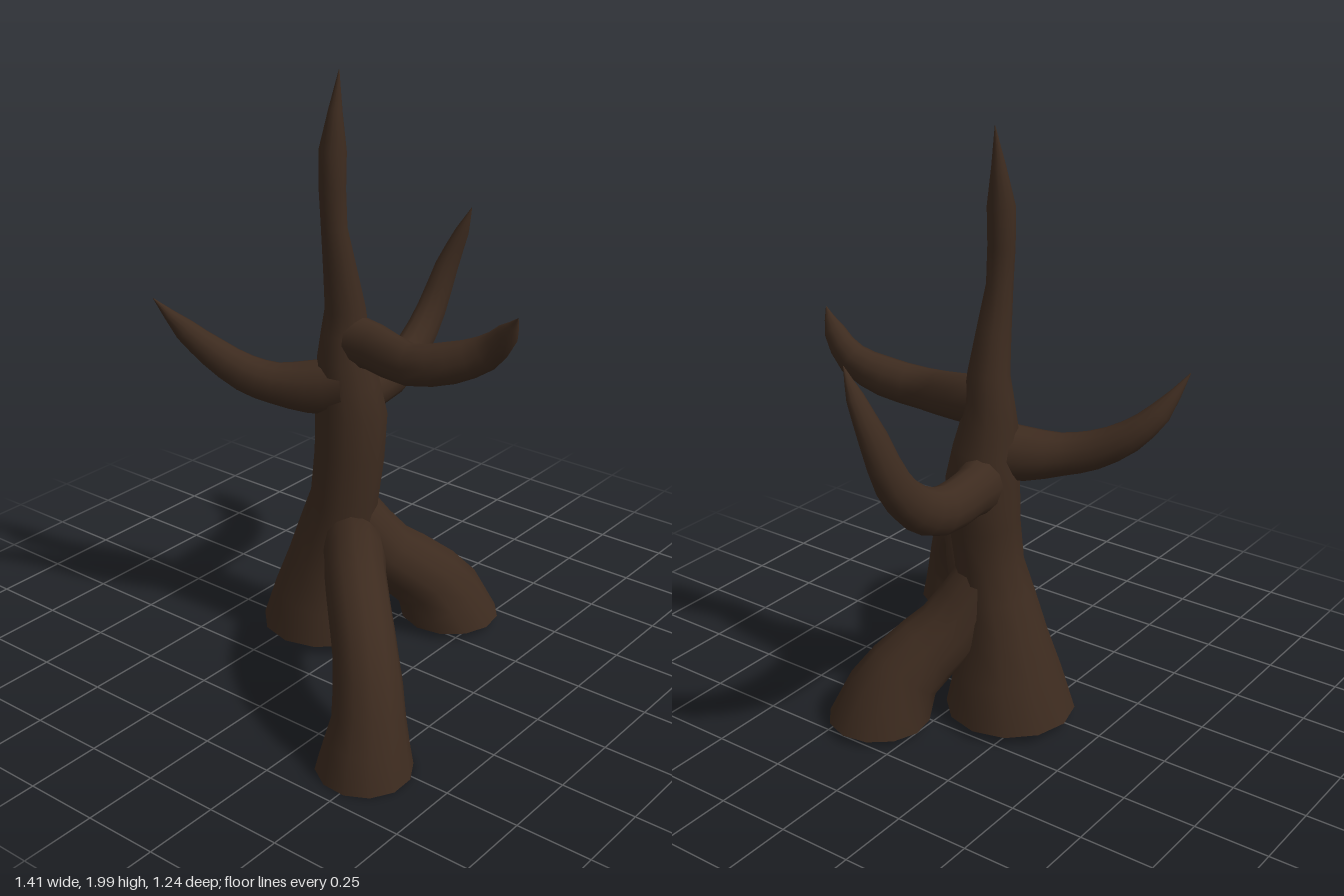
import * as THREE from 'three';

const SIDES = 12, STEPS = 2; // facets around a limb, rings per path section

// Sweeps an oval along a path. Each point is [x, y, z, radius];
// tall scales the section upright, and grounded gives a level, open foot.
function limb(points, { tall = 1, grounded = false } = {}) {
  const path = points.map(p => new THREE.Vector3(p[0], p[1], p[2]));
  const curve = new THREE.CatmullRomCurve3(path);
  const sections = points.length - 1, rings = sections * STEPS;
  const span = path[sections].clone().sub(path[0]);
  const acrossBase = Math.hypot(span.x, span.z) < 0.2
    ? new THREE.Vector3(1, 0, 0)
    : new THREE.Vector3(span.z, 0, -span.x).normalize();
  const pos = [], index = [];
  for (let i = 0; i <= rings; i++) {
    const u = i / rings, s = Math.min(Math.floor(i / STEPS), sections - 1);
    const r = THREE.MathUtils.lerp(points[s][3], points[s + 1][3], i / STEPS - s);
    const c = curve.getPoint(u), t = curve.getTangent(u);
    if (grounded && i === 0) t.set(0, 1, 0);
    const across = acrossBase.clone().addScaledVector(t, -acrossBase.dot(t)).normalize();
    const up = t.clone().cross(across);
    for (let j = 0; j < SIDES; j++) {
      const a = j / SIDES * Math.PI * 2;
      const v = c.clone().addScaledVector(across, Math.cos(a) * r)
        .addScaledVector(up, Math.sin(a) * r * tall);
      if (grounded) v.y = Math.max(v.y, points[0][1]);
      pos.push(v.x, v.y, v.z);
      if (i < rings) {
        const k = i * SIDES + j, n = i * SIDES + (j + 1) % SIDES;
        index.push(k, n, k + SIDES, n, n + SIDES, k + SIDES);
      }
    }
  }
  const g = new THREE.BufferGeometry();
  g.setAttribute('position', new THREE.Float32BufferAttribute(pos, 3));
  g.setIndex(index);
  g.computeVertexNormals();
  return g;
}

export function createModel() {
  // double-sided because the feet are open underneath
  const bark = new THREE.MeshStandardMaterial({ color: 0x3d2b1f, side: THREE.DoubleSide });
  bark.name = 'dark bark';
  const tree = new THREE.Group();
  tree.name = 'deadTree';
  const add = (name, points, options) => {
    const mesh = new THREE.Mesh(limb(points, options), bark);
    mesh.name = name;
    tree.add(mesh);
  };

  // trunk, flared at the back foot and ending in a spike
  add('trunk', [
    [0.045, 0.04, -0.172, 0.218], [0.035, 0.3, -0.135, 0.148], [0.035, 0.55, -0.075, 0.116],
    [0.06, 0.85, -0.065, 0.122], [0.045, 1.05, -0.08, 0.093], [0.048, 1.22, -0.08, 0.068],
    [0.003, 1.5, -0.088, 0.043], [0, 1.75, -0.09, 0.045], [0.025, 2, -0.083, 0.001],
  ], { grounded: true });

  // roots, from the foot up into the trunk
  add('archedRoot', [
    [-0.547, 0.01, 0.47, 0.153], [-0.512, 0.17, 0.46, 0.115], [-0.445, 0.325, 0.395, 0.102],
    [-0.355, 0.41, 0.3, 0.1], [-0.22, 0.44, 0.175, 0.1], [-0.06, 0.42, 0.04, 0.102],
    [0.03, 0.42, -0.09, 0.06],
  ], { tall: 1.08, grounded: true });
  add('shortRoot', [
    [0.358, 0.035, 0.145, 0.172], [0.28, 0.19, 0.095, 0.13], [0.15, 0.32, 0.005, 0.115],
    [0.05, 0.5, -0.075, 0.1],
  ], { grounded: true });

  // branches, from the trunk out to the tip
  add('leftBranch', [
    [0.06, 0.86, -0.08, 0.09], [0.2, 0.87, -0.12, 0.067], [0.37, 0.875, -0.135, 0.064],
    [0.5, 0.935, -0.137, 0.056], [0.605, 1.05, -0.135, 0.048], [0.657, 1.2, -0.11, 0.038],
    [0.682, 1.33, -0.065, 0.023], [0.688, 1.42, -0.03, 0.001],
  ], { tall: 1.27 });
  add('backBranch', [
    [0.035, 0.95, -0.07, 0.095], [-0.025, 0.94, -0.18, 0.083], [-0.08, 0.945, -0.28, 0.066],
    [-0.12, 0.97, -0.375, 0.06], [-0.16, 1.03, -0.48, 0.05], [-0.215, 1.11, -0.555, 0.036],
    [-0.298, 1.23, -0.612, 0.001],
  ], { tall: 1.08 });
  add('frontBranch', [
    [0.045, 1.12, -0.09, 0.075], [0.048, 1.11, 0.04, 0.067], [0.025, 1.095, 0.2, 0.06],
    [0.065, 1.12, 0.33, 0.058], [0.1, 1.17, 0.44, 0.048], [0.095, 1.25, 0.52, 0.032],
    [0.075, 1.32, 0.57, 0.001],
  ], { tall: 1.2 });

  return tree;
}
